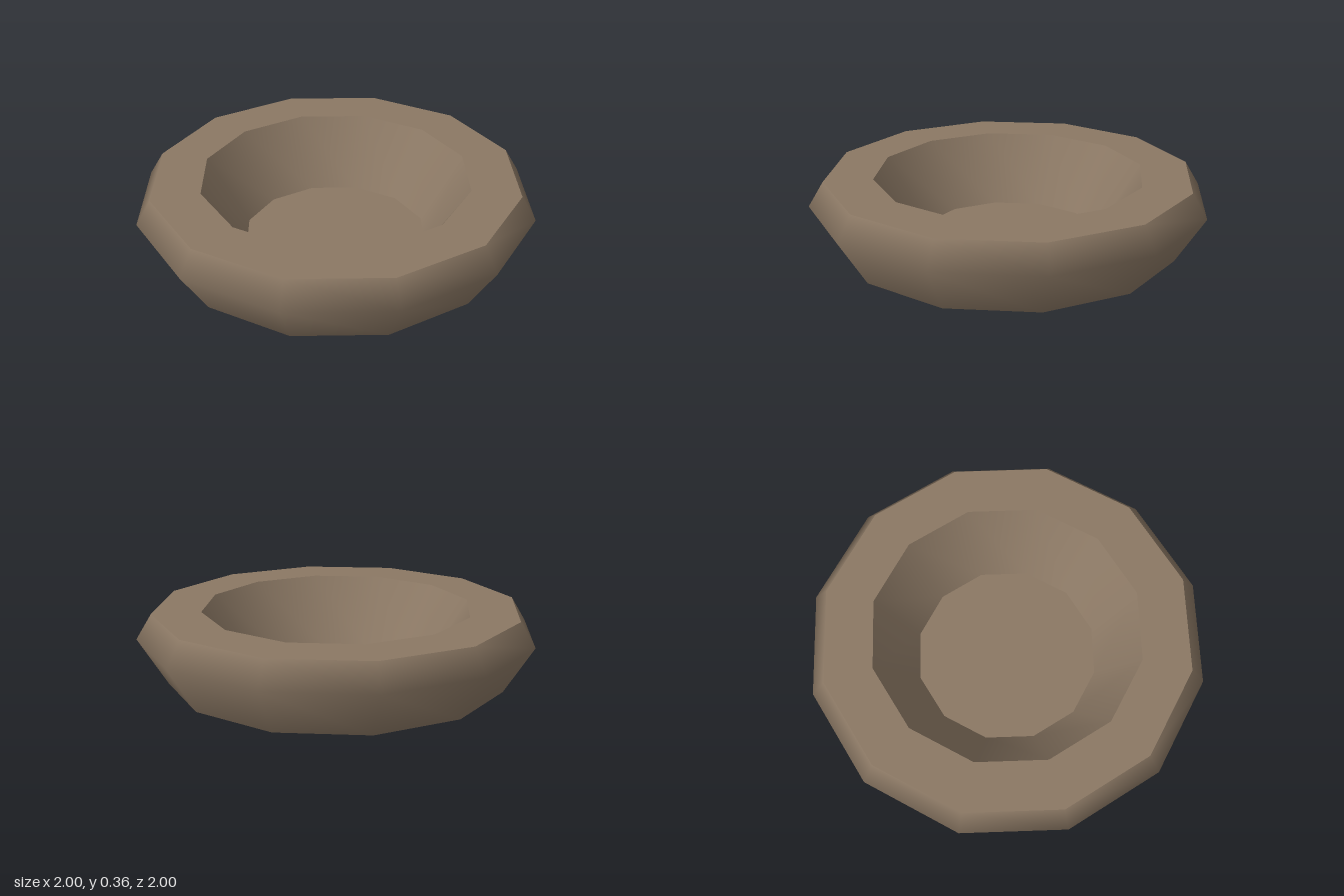
import * as THREE from 'three';

const SIDES = 12;

export function createModel() {
  const bowl = new THREE.Group();
  bowl.name = 'bowl';
  const clay = new THREE.MeshStandardMaterial({ color: 0x8b7864 });
  clay.name = 'brown clay';

  // Each part is its own lathe band, so edges between parts stay sharp
  const band = (name, profile) => {
    const points = profile.map(([r, y]) => new THREE.Vector2(r, y));
    const mesh = new THREE.Mesh(new THREE.LatheGeometry(points, SIDES), clay);
    mesh.name = name;
    bowl.add(mesh);
  };

  band('base', [[0, 0], [0.855, 0]]);
  band('outerWall', [[0.855, 0], [1, 0.237], [0.925, 0.36]]);
  band('rim', [[0.925, 0.36], [0.68, 0.36]]);
  band('innerWall', [[0.68, 0.36], [0.468, 0.02]]);
  band('floor', [[0.468, 0.02], [0, 0.02]]);

  return bowl;
}
